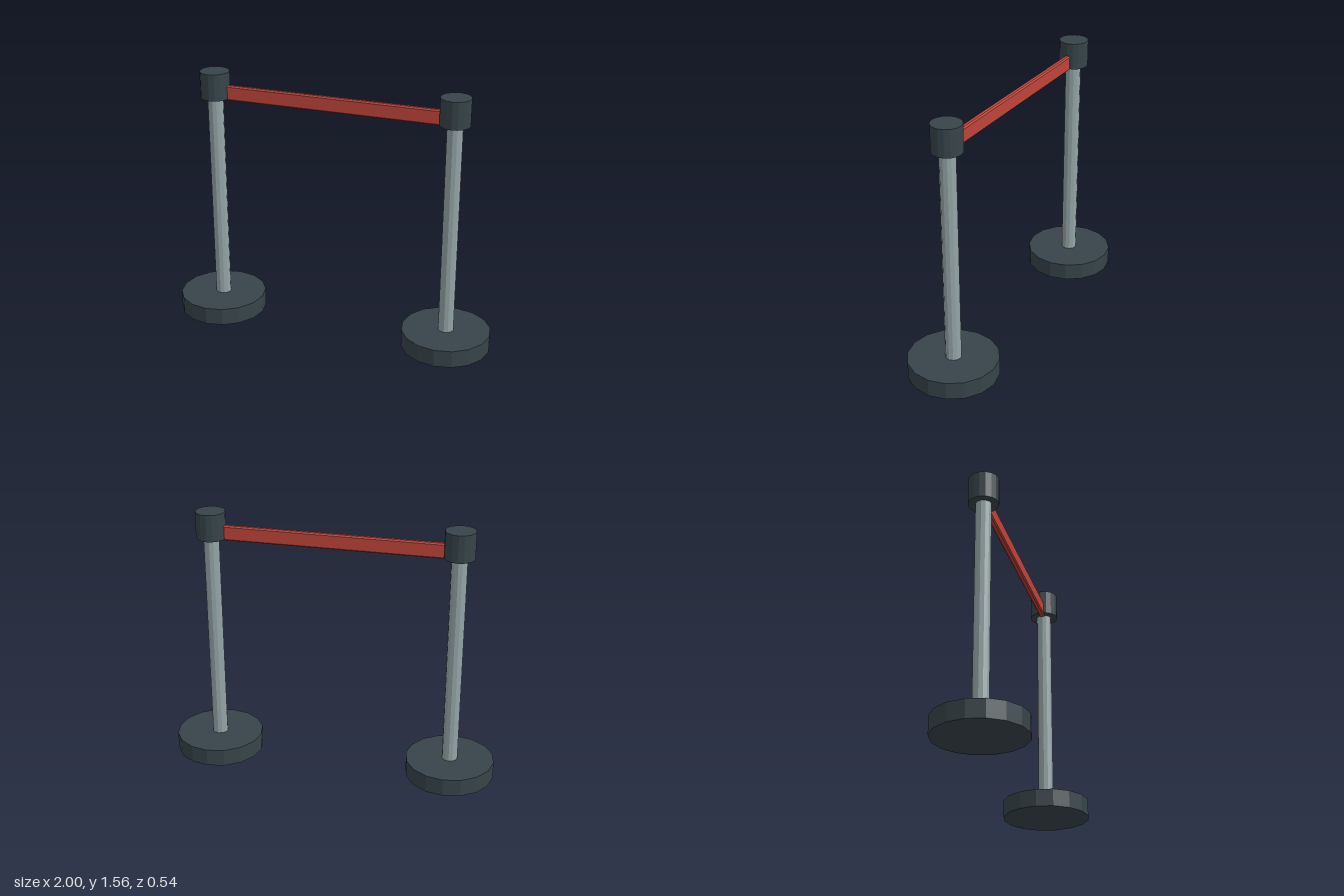
import * as THREE from 'three';

const material = (name, color) => {
  const m = new THREE.MeshStandardMaterial({ color, flatShading: true });
  m.name = name;
  return m;
};

export function createModel() {
  const charcoal = material('charcoal', 0x37444a);
  const steel = material('steel', 0x95a5a6);
  const red = material('red', 0xc0443a);
  const model = new THREE.Group();
  model.name = 'queueBarrier';

  // Upright drum between two heights
  const drum = (name, radius, bottom, top, sides, mat) => {
    const mesh = new THREE.Mesh(new THREE.CylinderGeometry(radius, radius, top - bottom, sides), mat);
    mesh.position.y = (bottom + top) / 2;
    mesh.name = name;
    return mesh;
  };

  // Two matching stanchions: weighted base, pole and belt head
  for (const [name, side] of [['leftStanchion', 1], ['rightStanchion', -1]]) {
    const stanchion = new THREE.Group();
    stanchion.name = name;
    stanchion.position.x = side * 0.732;
    stanchion.add(
      drum('base', 0.268, 0, 0.107, 16, charcoal),
      drum('pole', 0.047, 0.107, 1.4, 12, steel),
      drum('head', 0.089, 1.4, 1.562, 16, charcoal),
    );
    model.add(stanchion);
  }

  // Belt with chamfered long edges, running between the heads
  const w = 0.017, h = 0.0455, c = 0.008, length = 1.476;
  const section = new THREE.Shape([
    [w, c - h], [w, h - c], [w - c, h], [c - w, h],
    [-w, h - c], [-w, c - h], [c - w, -h], [w - c, -h],
  ].map(([x, y]) => new THREE.Vector2(x, y)));
  const beltGeometry = new THREE.ExtrudeGeometry(section, { depth: length, bevelEnabled: false });
  beltGeometry.translate(0, 0, -length / 2).rotateY(Math.PI / 2);
  const belt = new THREE.Mesh(beltGeometry, red);
  belt.name = 'belt';
  belt.position.y = 1.437;
  model.add(belt);

  return model;
}
